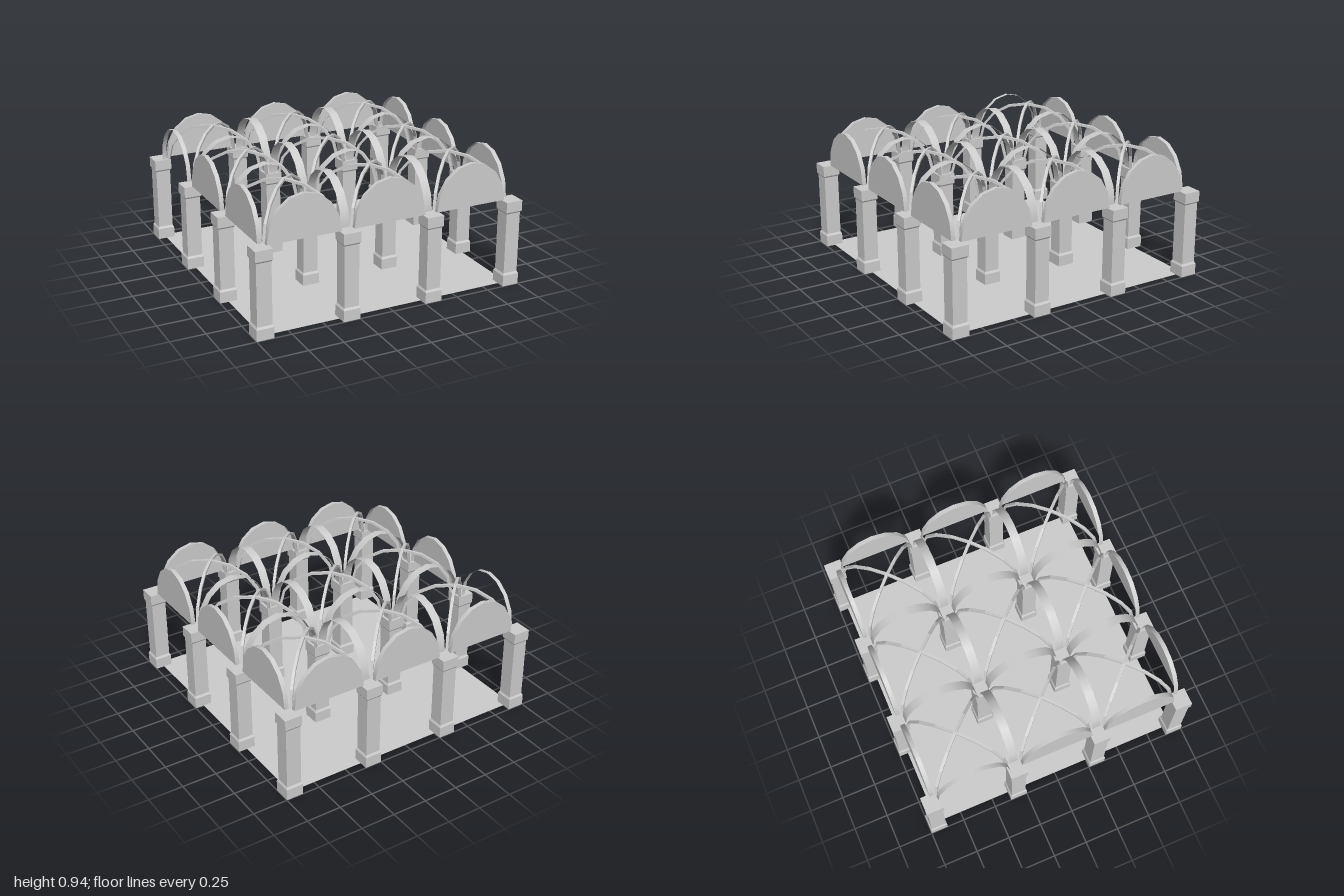
import * as THREE from 'three';

const BAY = 0.625;          // pier spacing
const EDGE = BAY * 1.5;     // outer pier line
const SPRING = 0.628;       // top of the capitals
const RISE = 0.31;          // arch height
const HALF = 0.267;         // arch half span
const WIDTH = 0.0625;       // inner arch width
const SEGS = 8;

export function createModel() {
  const group = new THREE.Group();
  const stone = new THREE.MeshStandardMaterial({ color: 0xcccccc, side: THREE.DoubleSide });
  stone.name = 'grey stone';

  const add = (name, geometry, x, y, z, turn = 0) => {
    const mesh = new THREE.Mesh(geometry, stone);
    mesh.name = name;
    mesh.position.set(x, y, z);
    mesh.rotation.y = turn;
    group.add(mesh);
  };

  // Square pier with chamfered base and capital
  const profile = [[0, 0], [0.0625, 0], [0.0625, 0.08], [0.054, 0.096], [0.054, 0.54],
    [0.0615, 0.552], [0.0625, 0.552], [0.0625, SPRING], [0, SPRING]]
    .map(([r, y]) => new THREE.Vector2(r * Math.SQRT2, y));
  const pier = new THREE.LatheGeometry(profile, 4).rotateY(Math.PI / 4).toNonIndexed();
  pier.computeVertexNormals();

  // Curved arch sheet spanning along x
  const archSheet = (width) =>
    new THREE.CylinderGeometry(1, 1, width, SEGS, 1, true, Math.PI / 2, Math.PI)
      .rotateX(Math.PI / 2).scale(HALF, RISE, 1);
  const innerArch = archSheet(WIDTH);
  const outerArch = archSheet(WIDTH / 2);

  // Half-round wall panel
  const lunette = new THREE.CircleGeometry(1, SEGS, 0, Math.PI).scale(HALF, RISE, 1);

  // Diagonal rib with a square section
  const ribShape = new THREE.Shape();
  const ribSpan = 0.268 * Math.SQRT2, thick = 0.018, ribWidth = 0.02;
  for (let i = 0; i <= SEGS; i++) {
    const a = (i / SEGS) * Math.PI;
    const x = Math.cos(a) * ribSpan, y = Math.sin(a) * RISE;
    if (i === 0) ribShape.moveTo(x, y); else ribShape.lineTo(x, y);
  }
  for (let i = SEGS; i >= 0; i--) {
    const a = (i / SEGS) * Math.PI;
    ribShape.lineTo(Math.cos(a) * (ribSpan - thick), Math.sin(a) * (RISE - thick));
  }
  const rib = new THREE.ExtrudeGeometry(ribShape, { depth: ribWidth, bevelEnabled: false })
    .translate(0, 0, -ribWidth / 2);

  // Floor
  add('floor', new THREE.BoxGeometry(EDGE * 2, 0.002, EDGE * 2), 0, 0.001, 0);

  // Piers
  for (let i = 0; i < 4; i++)
    for (let j = 0; j < 4; j++) add('pier', pier, i * BAY - EDGE, 0, j * BAY - EDGE);

  for (let i = -1; i <= 1; i++) {
    const c = i * BAY;
    // Arches between inner piers, both directions
    for (const s of [-1, 1]) {
      const line = s * BAY / 2;
      add('innerArch', innerArch, c, SPRING, line);
      add('innerArch', innerArch, line, SPRING, c, Math.PI / 2);

      // Edge arches and wall panels; one rear side bay is left open
      const inset = s * (EDGE - WIDTH / 4);
      add('edgeArch', outerArch, c, SPRING, inset);
      add('edgeArch', outerArch, inset, SPRING, c, Math.PI / 2);
      add('wallPanel', lunette, c, SPRING, s * EDGE, s > 0 ? 0 : Math.PI);
      if (!(s < 0 && i < 0)) add('wallPanel', lunette, s * EDGE, SPRING, c, s * Math.PI / 2);
    }
    // Crossing ribs of each vault
    for (let j = -1; j <= 1; j++)
      for (const turn of [1, -1]) add('diagonalRib', rib, c, SPRING, j * BAY, turn * Math.PI / 4);
  }
  return group;
}
